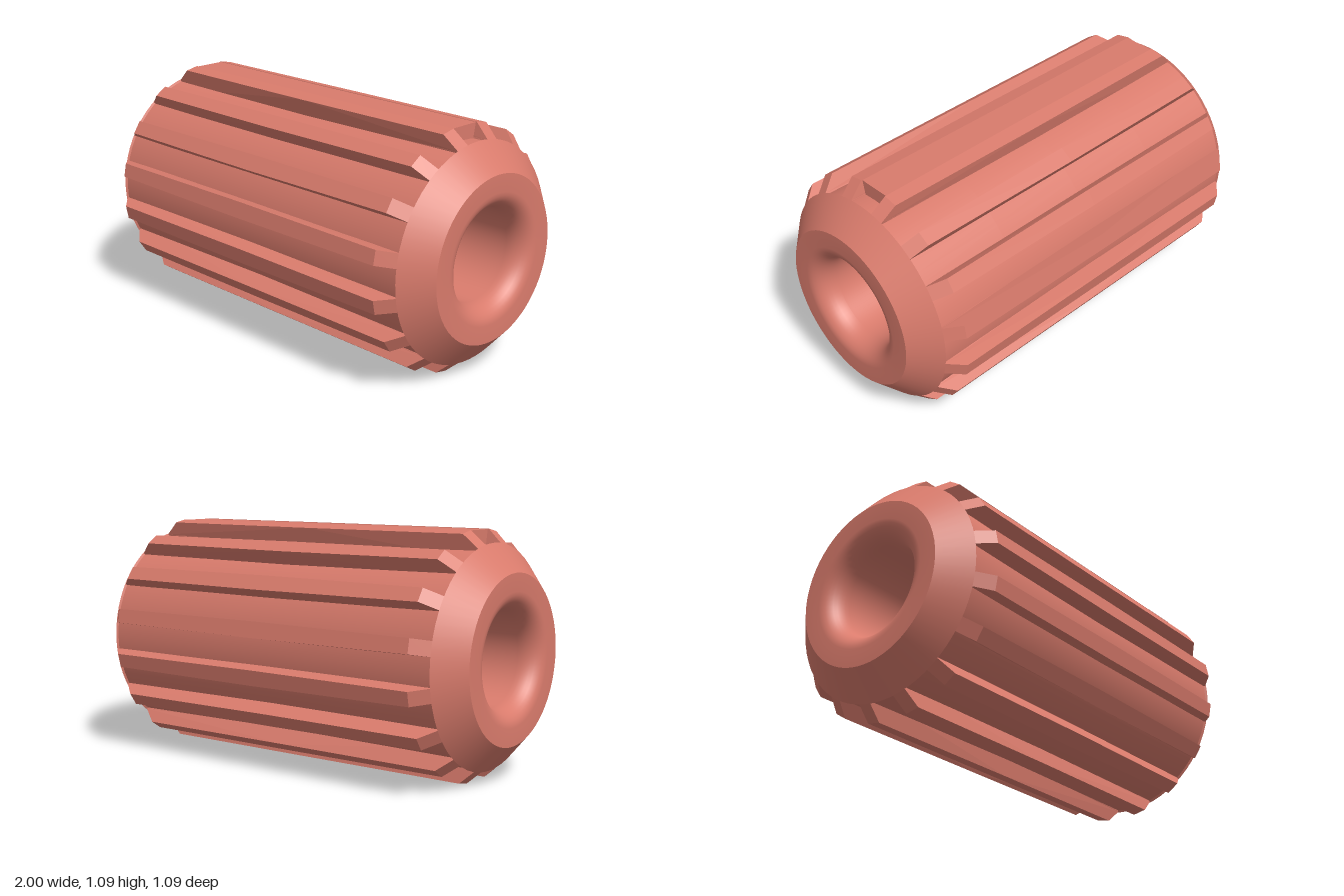
import * as THREE from 'three';
import { toCreasedNormals } from 'three/addons/utils/BufferGeometryUtils.js';

const CENTER_Y = 0.55;
const RIBS = 16;

// Closed profile (radius, position along the axis) for the hollow barrel
function barrelProfile() {
  const half = [];
  // bore with a rounded mouth
  for (let i = 0; i <= 8; i++) {
    const a = (i / 8) * Math.PI / 2;
    half.push([0.29 - 0.08 * Math.cos(a), 0.9 + 0.1 * Math.sin(a)]);
  }
  // flat rim, conical shoulder, small step down to the slightly waisted wall
  half.push([0.37, 1], [0.49, 0.89], [0.48, 0.885], [0.476, 0.45], [0.472, 0]);
  const top = half.map(([r, y]) => new THREE.Vector2(r, y));
  const bottom = top.slice(0, -1).map((p) => new THREE.Vector2(p.x, -p.y));
  const loop = [...bottom, ...top.reverse(), bottom[0].clone()];
  return loop;
}

// Long rib with chamfered ends, a little thicker at mid-length
function ribGeometry() {
  const shape = new THREE.Shape([
    [-0.89, 0.44], [0, 0.44], [0.89, 0.44], [0.89, 0.485],
    [0.82, 0.548], [0, 0.548], [-0.82, 0.548], [-0.89, 0.485],
  ].map(([x, y]) => new THREE.Vector2(x, y)));
  const width = 0.064;
  const geo = new THREE.ExtrudeGeometry(shape, { depth: width, bevelEnabled: false });
  geo.translate(0, 0, -width / 2);
  const pos = geo.attributes.position;
  for (let i = 0; i < pos.count; i++) {
    const swell = 1 + 0.14 * (1 - Math.abs(pos.getX(i)) / 0.89);
    pos.setZ(i, pos.getZ(i) * swell);
  }
  geo.computeVertexNormals();
  return geo;
}

export function createModel() {
  const model = new THREE.Group();
  model.name = 'ribbedSleeve';
  const material = new THREE.MeshStandardMaterial({ color: 0xd97b6c });

  // Hollow barrel, axis laid along x
  const lathe = new THREE.LatheGeometry(barrelProfile(), 64);
  const barrel = new THREE.Mesh(toCreasedNormals(lathe, 0.5), material);
  barrel.name = 'barrel';
  barrel.rotation.z = -Math.PI / 2;
  barrel.position.y = CENTER_Y;
  model.add(barrel);

  // Ribs evenly spaced around the barrel
  const ribs = new THREE.Group();
  ribs.name = 'ribs';
  ribs.position.y = CENTER_Y;
  const ribGeo = ribGeometry();
  for (let i = 0; i < RIBS; i++) {
    const rib = new THREE.Mesh(ribGeo, material);
    rib.name = 'rib';
    rib.rotation.x = ((i + 0.5) / RIBS) * Math.PI * 2;
    ribs.add(rib);
  }
  model.add(ribs);

  // Flat plate filling the gap between the two top ribs
  const plate = new THREE.Mesh(new THREE.BoxGeometry(1.63, 0.08, 0.165), material);
  plate.name = 'topPlate';
  plate.position.y = 1.052;
  model.add(plate);

  return model;
}
